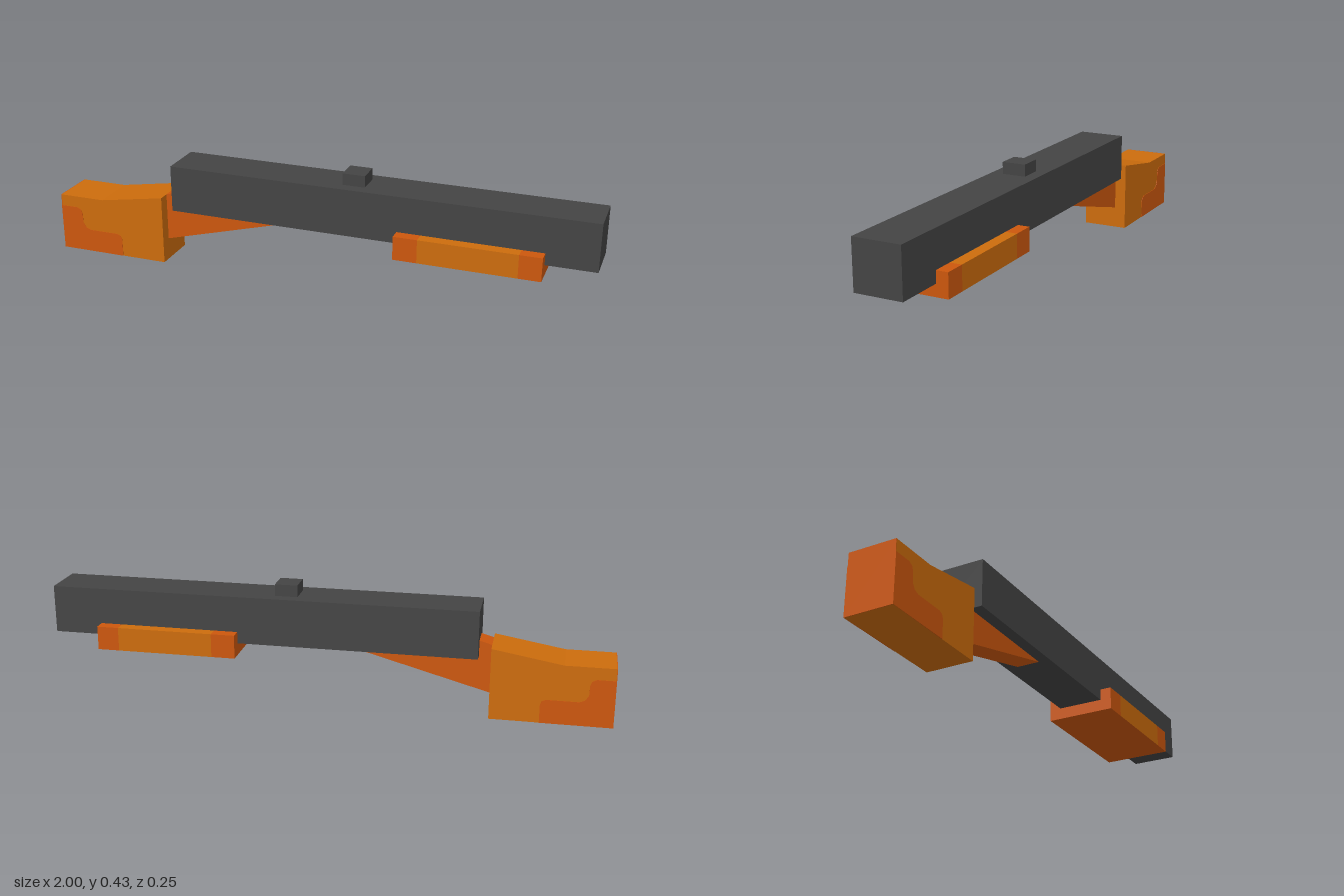
import * as THREE from 'three';

const mat = (name, color) => Object.assign(new THREE.MeshStandardMaterial({ color }), { name });

export function createModel() {
  const gunmetal = mat('gunmetal', 0x444444);
  const wood = mat('wood', 0xcc6c0c);
  const redWood = mat('redWood', 0xcc570d);
  const group = new THREE.Group();

  const add = (name, geometry, material) => {
    const mesh = new THREE.Mesh(geometry, material);
    mesh.name = name;
    group.add(mesh);
    return mesh;
  };
  // Box from its x range, y range and full depth, centred on z = 0
  const box = (name, x0, x1, y0, y1, depth, material) =>
    add(name, new THREE.BoxGeometry(x1 - x0, y1 - y0, depth), material)
      .position.set((x0 + x1) / 2, (y0 + y1) / 2, 0);
  // Side profile extruded between two z values
  const slab = (name, points, z0, z1, material) => {
    const shape = new THREE.Shape(points.map(([x, y]) => new THREE.Vector2(x, y)));
    const geometry = new THREE.ExtrudeGeometry(shape, { depth: z1 - z0, bevelEnabled: false });
    add(name, geometry.translate(0, 0, z0), material);
  };

  // Receiver with barrel, and the sight on top
  box('barrel', -0.533, 1, 0.214, 0.385, 0.17, gunmetal);
  box('sight', 0.107, 0.188, 0.385, 0.427, 0.085, gunmetal);

  // Fore-end: red ends and underside, lighter top and sides in the middle
  const middle = [redWood, redWood, wood, redWood, wood, wood];
  box('foreEndRear', 0.317, 0.402, 0.171, 0.256, 0.255, redWood);
  box('foreEndMiddle', 0.402, 0.747, 0.171, 0.256, 0.255, middle);
  box('foreEndFront', 0.747, 0.825, 0.171, 0.256, 0.255, redWood);

  // Sloping neck between stock and barrel
  slab('neck', [[-0.577, 0.08], [-0.075, 0.216], [-0.1, 0.25], [-0.51, 0.275], [-0.577, 0.256]],
    -0.0425, 0.0425, redWood);

  // Stock with a red butt face
  slab('stock', [[-0.998, 0], [-0.577, 0], [-0.577, 0.256], [-0.825, 0.214], [-0.998, 0.214]],
    -0.085, 0.085, wood);
  box('buttPlate', -1, -0.998, 0, 0.214, 0.17, redWood);

  // Stepped red patch on both sides of the stock
  const patch = [[-1, 0], [-0.75, 0], [-0.75, 0.066], [-0.756, 0.08], [-0.77, 0.086],
    [-0.882, 0.086], [-0.901, 0.094], [-0.912, 0.112], [-0.913, 0.148], [-0.919, 0.163],
    [-0.934, 0.171], [-1, 0.171]];
  slab('leftStockPatch', patch, 0.084, 0.0865, redWood);
  slab('rightStockPatch', patch, -0.0865, -0.084, redWood);

  return group;
}
